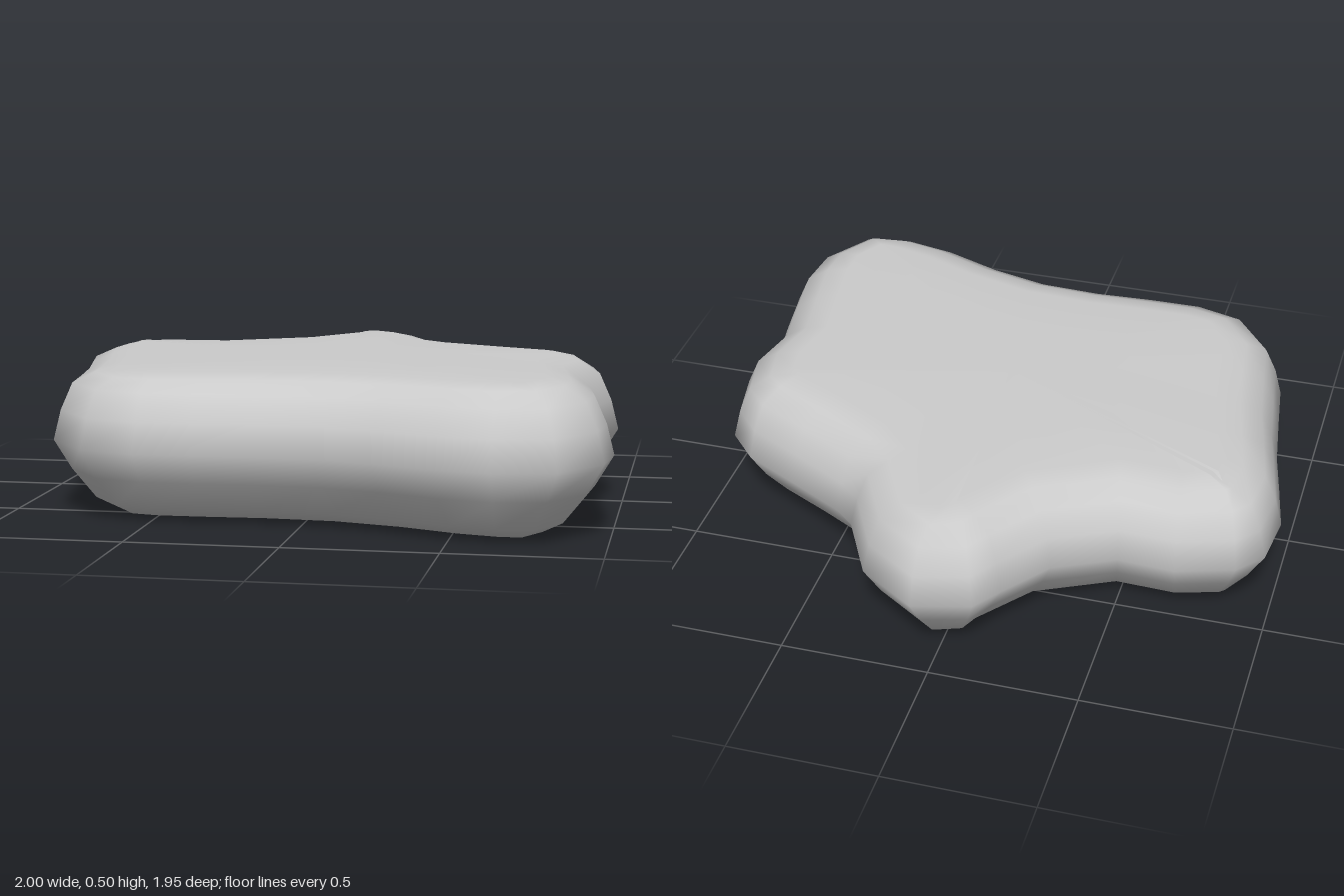
import * as THREE from 'three';
import { mergeVertices } from 'three/addons/utils/BufferGeometryUtils.js';

// Widest outline seen from above, as [x, z], running clockwise from the back lobe
const OUTLINE = [
  [0.06, -0.98], [0.26, -0.85], [0.38, -0.62], [0.45, -0.56], [0.65, -0.45], [0.84, -0.35],
  [0.94, -0.24], [0.98, -0.04], [0.94, 0.15], [0.97, 0.33], [1, 0.54], [0.98, 0.73],
  [0.85, 0.93], [0.65, 0.97], [0.46, 0.93], [0.26, 0.85], [0.07, 0.8], [-0.13, 0.79],
  [-0.33, 0.8], [-0.52, 0.8], [-0.71, 0.74], [-0.86, 0.54], [-0.89, 0.33], [-0.92, 0.13],
  [-0.96, -0.05], [-1, -0.24], [-0.98, -0.43], [-0.9, -0.52], [-0.71, -0.58],
  [-0.52, -0.57], [-0.32, -0.67], [-0.2, -0.83], [-0.13, -0.93],
];

// Rounded edge from underside to top: [inset from the outline, height, blend to centre]
const PROFILE = [
  [0.21, 0.015, 1], [0.21, 0.015, 0.5], [0.21, 0.025, 0], [0.14, 0.06, 0], [0.06, 0.16, 0],
  [0, 0.26, 0], [0.025, 0.36, 0], [0.065, 0.45, 0], [0.14, 0.49, 0], [0.22, 0.508, 0],
  [0.22, 0.51, 0.5], [0.22, 0.51, 1],
];

function createCushionGeometry() {
  const n = OUTLINE.length;
  const centre = [0, 0.05];
  const positions = [];
  const indices = [];

  for (const [inset, height, blend] of PROFILE) {
    OUTLINE.forEach(([x, z], i) => {
      const [px, pz] = OUTLINE[(i + n - 1) % n];
      const [qx, qz] = OUTLINE[(i + 1) % n];
      const length = Math.hypot(qx - px, qz - pz);
      const ix = x - (inset * (qz - pz)) / length;
      const iz = z + (inset * (qx - px)) / length;
      const fx = THREE.MathUtils.lerp(ix, centre[0], blend);
      const fz = THREE.MathUtils.lerp(iz, centre[1], blend);
      // Slight swell towards the front left of the top
      const swell = height > 0.48 ? 0.008 * fx : 0;
      positions.push(fx, height + swell, fz);
    });
  }

  for (let r = 0; r < PROFILE.length - 1; r++) {
    for (let i = 0; i < n; i++) {
      const j = (i + 1) % n;
      const a = r * n + i, b = r * n + j, c = a + n, d = b + n;
      if (r > 0) indices.push(a, c, b);
      if (r < PROFILE.length - 2) indices.push(b, c, d);
      // Single triangles close the fans at both centres
      if (r === PROFILE.length - 2) continue;
    }
  }

  let geometry = new THREE.BufferGeometry();
  geometry.setAttribute('position', new THREE.Float32BufferAttribute(positions, 3));
  geometry.setIndex(indices);
  geometry = mergeVertices(geometry, 1e-4);
  geometry.computeVertexNormals();
  return geometry;
}

export function createModel() {
  const model = new THREE.Group();
  model.name = 'lobedCushion';

  const material = new THREE.MeshStandardMaterial({ color: 0xcccccc });
  const body = new THREE.Mesh(createCushionGeometry(), material);
  body.name = 'cushionBody';
  model.add(body);
  return model;
}
